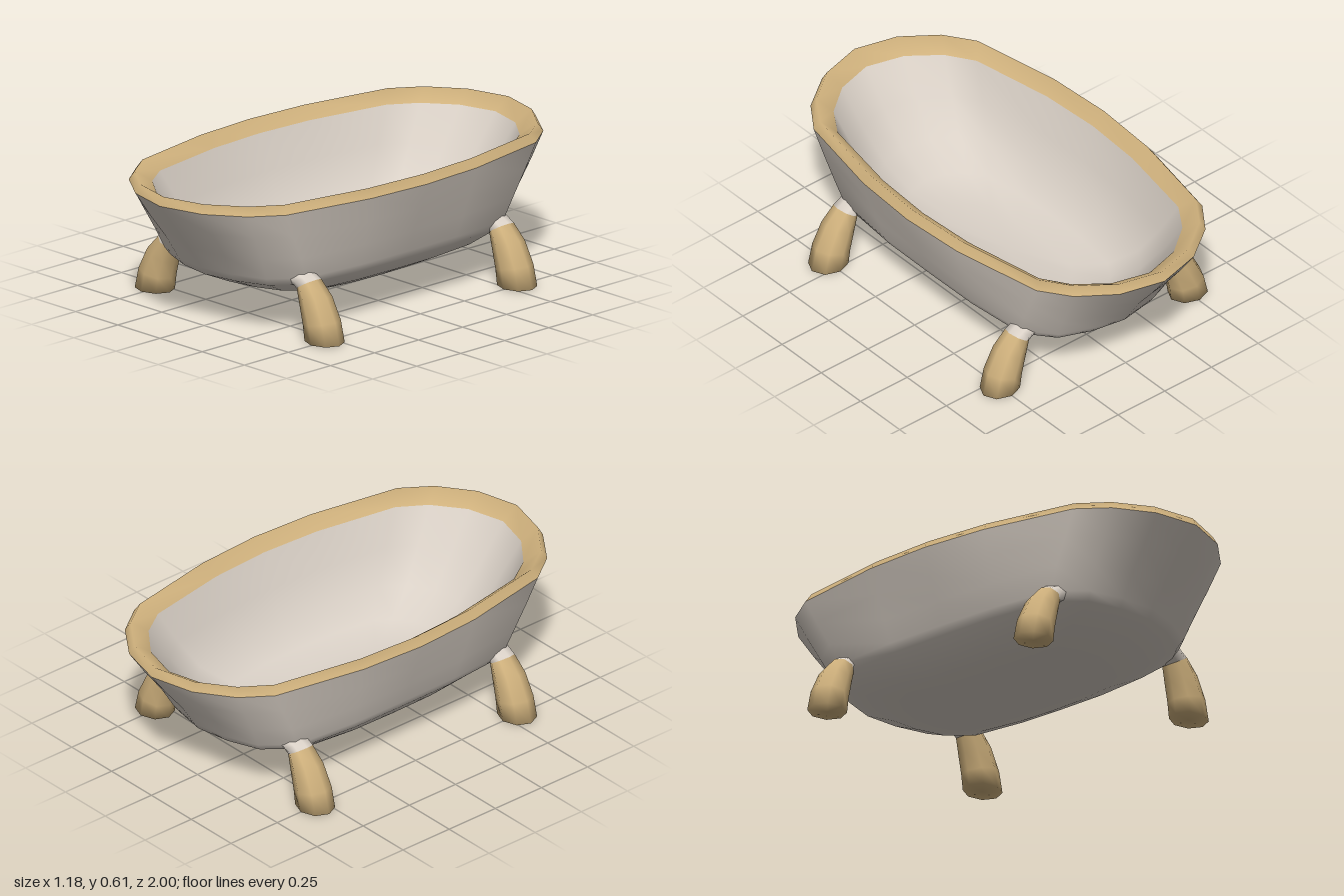
import * as THREE from 'three';
import { mergeVertices } from 'three/addons/utils/BufferGeometryUtils.js';

const enamel = new THREE.MeshStandardMaterial({ color: 0xd9d0c6 });
enamel.name = 'enamel';
const brass = new THREE.MeshStandardMaterial({ color: 0xceb07c });
brass.name = 'brass';

// Smooth surface through closed rings of points
function loft(rings) {
  const n = rings[0].length;
  const index = [];
  for (let i = 0; i < rings.length - 1; i++) {
    for (let j = 0; j < n; j++) {
      const k = (j + 1) % n;
      const a = i * n + j, b = i * n + k, c = a + n, d = b + n;
      index.push(a, b, c, b, d, c);
    }
  }
  const geo = new THREE.BufferGeometry();
  geo.setAttribute('position', new THREE.Float32BufferAttribute(rings.flat(2), 3));
  geo.setIndex(index);
  const merged = mergeVertices(geo, 1e-5);
  merged.computeVertexNormals();
  return merged;
}

function part(name, rings, material) {
  const mesh = new THREE.Mesh(loft(rings), material);
  mesh.name = name;
  return mesh;
}

// Unit plans of the tub, mirrored from one quarter: oval at the rim, fuller below
const mirrorQuarter = (quarter) => {
  const back = quarter.slice(1).reverse();
  return [
    ...quarter, [0, 1],
    ...back.map(([x, z]) => [-x, z]),
    ...quarter.map(([x, z]) => [-x, -z]), [0, -1],
    ...back.map(([x, z]) => [x, -z]),
  ];
};
const oval = mirrorQuarter([[1, 0], [0.965, 0.3], [0.82, 0.71], [0.65, 0.84], [0.365, 0.95]]);
const full = mirrorQuarter([[1, 0], [0.995, 0.35], [0.935, 0.73], [0.7, 0.89], [0.365, 0.965]]);

// Each row: half width, half length, height, fullness of the plan
const tubRings = (rows) =>
  rows.map(([w, l, y, f]) =>
    oval.map(([x, z], i) => [
      w * THREE.MathUtils.lerp(x, full[i][0], f),
      y,
      l * THREE.MathUtils.lerp(z, full[i][1], f),
    ]));

// Each row: centre x, centre y, tilt, radius across, radius along z
const legRings = (rows) =>
  rows.map(([cx, cy, tilt, rx, rz]) =>
    Array.from({ length: 8 }, (_, i) => {
      const a = (i / 8) * Math.PI * 2;
      const u = Math.cos(a) * rx;
      return [cx + u * Math.cos(tilt), cy + u * Math.sin(tilt), Math.sin(a) * rz];
    }));

function makeLeg() {
  const leg = new THREE.Group();
  leg.name = 'leg';
  const neck = [0.411, 0.23, 0.56, 0.05, 0.058];
  leg.add(
    part('legCollar', legRings([
      [0.345, 0.258, 0.75, 0.05, 0.062],
      [0.388, 0.243, 0.65, 0.048, 0.057],
      neck,
    ]), enamel),
    part('legShaft', legRings([
      neck,
      [0.452, 0.165, 0.42, 0.07, 0.07],
      [0.487, 0.08, 0.2, 0.081, 0.077],
      [0.503, 0.002, 0, 0.088, 0.077],
      [0.503, 0, 0, 0, 0],
    ]), brass),
  );
  return leg;
}

export function createModel() {
  const tub = new THREE.Group();
  tub.name = 'bathtub';

  // Basin, rim and shell share their edges; the rim slopes down inside
  const innerEdge = [0.455, 0.905, 0.557, 0];
  const outerEdge = [0.542, 1, 0.568, 0];
  tub.add(
    part('basin', tubRings([
      [0, 0, 0.15, 0.4],
      [0.14, 0.35, 0.155, 0.4],
      [0.245, 0.53, 0.19, 0.45],
      [0.335, 0.67, 0.275, 0.45],
      [0.4, 0.79, 0.41, 0.25],
      innerEdge,
    ]), enamel),
    part('rim', tubRings([
      innerEdge,
      [0.515, 0.98, 0.605, 0],
      outerEdge,
    ]), brass),
    part('shell', tubRings([
      outerEdge,
      [0.507, 0.92, 0.46, 0.3],
      [0.465, 0.83, 0.35, 0.75],
      [0.432, 0.77, 0.255, 1],
      [0.413, 0.745, 0.22, 1],
      [0.355, 0.61, 0.16, 0.85],
      [0.27, 0.46, 0.117, 0.6],
      [0.15, 0.28, 0.1, 0.5],
      [0, 0, 0.097, 0.5],
    ]), enamel),
  );

  // Four splayed legs
  for (const turn of [0, Math.PI]) {
    for (const z of [-0.547, 0.547]) {
      const leg = makeLeg();
      leg.rotation.y = turn;
      leg.position.z = z;
      tub.add(leg);
    }
  }
  return tub;
}
